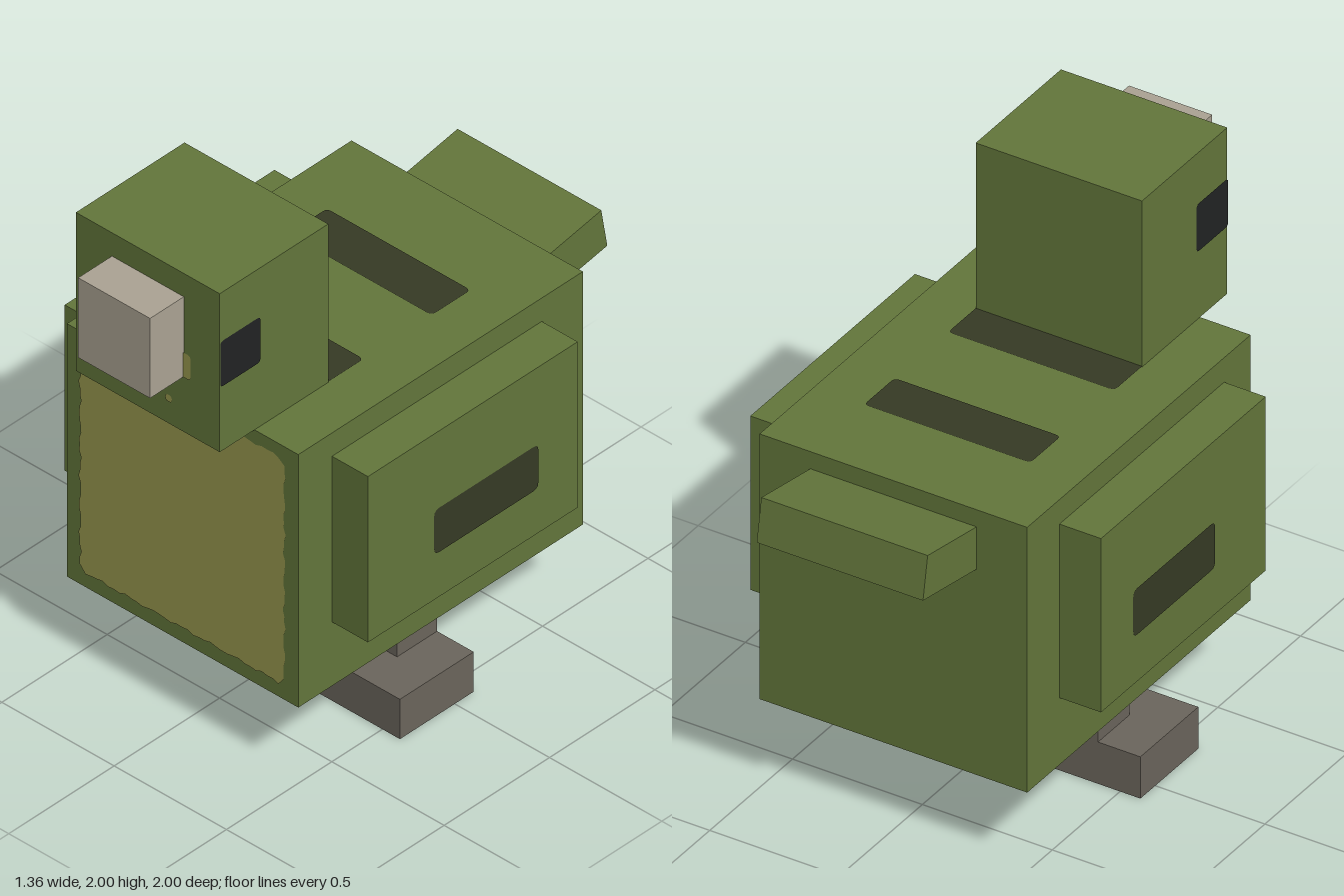
import * as THREE from 'three';

const mat = (name, color) => {
  const m = new THREE.MeshStandardMaterial({ color });
  m.name = name;
  return m;
};

export function createModel() {
  const group = new THREE.Group();
  const green = mat('mossGreen', 0x63763b);
  const olive = mat('oliveYellow', 0x99984f);
  const dark = mat('darkOlive', 0x363a25);
  const black = mat('eyeBlack', 0x212324);
  const beige = mat('beakBeige', 0xaba393);
  const grey = mat('footGrey', 0x6b655c);

  const add = (name, geometry, material) => {
    const mesh = new THREE.Mesh(geometry, material);
    mesh.name = name;
    group.add(mesh);
    return mesh;
  };

  // Box given by its limits on each axis
  const box = (name, material, [x0, x1], [y0, y1], [z0, z1]) => {
    const mesh = add(name, new THREE.BoxGeometry(x1 - x0, y1 - y0, z1 - z0), material);
    mesh.position.set((x0 + x1) / 2, (y0 + y1) / 2, (z0 + z1) / 2);
    return mesh;
  };

  // Flat painted plate with rounded corners, facing +z before it is turned
  const plate = (name, material, w, h, r) => {
    const s = new THREE.Shape();
    const x = w / 2, y = h / 2;
    s.moveTo(-x + r, -y).lineTo(x - r, -y).quadraticCurveTo(x, -y, x, -y + r);
    s.lineTo(x, y - r).quadraticCurveTo(x, y, x - r, y);
    s.lineTo(-x + r, y).quadraticCurveTo(-x, y, -x, y - r);
    s.lineTo(-x, -y + r).quadraticCurveTo(-x, -y, -x + r, -y);
    return add(name, new THREE.ShapeGeometry(s, 3), material);
  };
  const lift = 0.003;

  // Body, head and beak
  box('body', green, [-0.515, 0.515], [0.325, 1.355], [-0.675, 0.675]);
  box('head', green, [-0.32, 0.32], [1.355, 2], [0.325, 0.84]);
  box('beak', beige, [-0.16, 0.16], [1.58, 1.905], [0.84, 1]);

  // Tail, tilted up toward its tip
  const tail = add('tail', new THREE.BoxGeometry(0.64, 0.162, 0.33), green);
  tail.position.set(0, 1.232, -0.822);
  tail.rotation.x = THREE.MathUtils.degToRad(10);

  // Wings, eyes, legs and feet on both sides
  for (const [side, s] of [['left', 1], ['right', -1]]) {
    const span = (a, b) => (s > 0 ? [a, b] : [-b, -a]);
    box(side + 'Wing', green, span(0.515, 0.675), [0.585, 1.26], [-0.48, 0.515]);
    box(side + 'Leg', grey, span(0.26, 0.415), [0.16, 0.325], [-0.09, 0.1]);
    box(side + 'Foot', grey, span(0.1, 0.578), [0, 0.162], [-0.09, 0.26]);

    const stripe = plate(side + 'WingStripe', dark, 0.495, 0.18, 0.025);
    stripe.position.set(s * (0.675 + lift), 0.86, -0.043);
    stripe.rotation.y = s * Math.PI / 2;

    const eye = plate(side + 'Eye', black, 0.19, 0.185, 0.015);
    eye.position.set(s * (0.32 + lift), 1.712, 0.745);
    eye.rotation.y = s * Math.PI / 2;
  }

  // Stripes across the back
  for (const z of [-0.258, 0.25]) {
    const stripe = plate('backStripe', dark, 0.64, 0.185, 0.02);
    stripe.position.set(0, 1.355 + lift, z);
    stripe.rotation.x = -Math.PI / 2;
  }

  // Belly patch with a slightly uneven edge
  const edge = [];
  const steps = 36;
  const corners = [[-1, -1], [1, -1], [1, 1], [-1, 1]];
  corners.forEach(([ax, ay], i) => {
    const [bx, by] = corners[(i + 1) % 4];
    for (let k = 1; k < steps; k++) {
      const t = k / steps;
      const wave = 1 + 0.009 * Math.sin(k * 1.3 + i * 2) + 0.006 * Math.sin(k * 2.9 + i);
      const u = ax + (bx - ax) * t, v = ay + (by - ay) * t;
      edge.push(new THREE.Vector2(
        0.455 * u * (ax === bx ? wave : 1),
        0.845 + 0.46 * v * (ay === by ? wave : 1)));
    }
  });
  add('bellyPatch', new THREE.ShapeGeometry(new THREE.Shape(edge)), olive)
    .position.z = 0.675 + lift;

  // Small spots on the face: x, y, width, height
  const spots = [
    [-0.225, 1.65, 0.03, 0.03], [-0.225, 1.48, 0.036, 0.065], [0.095, 1.46, 0.03, 0.028],
    [0.17, 1.63, 0.045, 0.1], [-0.035, 1.568, 0.05, 0.045],
  ];
  for (const [x, y, w, h] of spots) {
    plate('faceSpot', olive, w, h, 0.013).position.set(x, y, 0.84 + lift);
  }

  return group;
}
